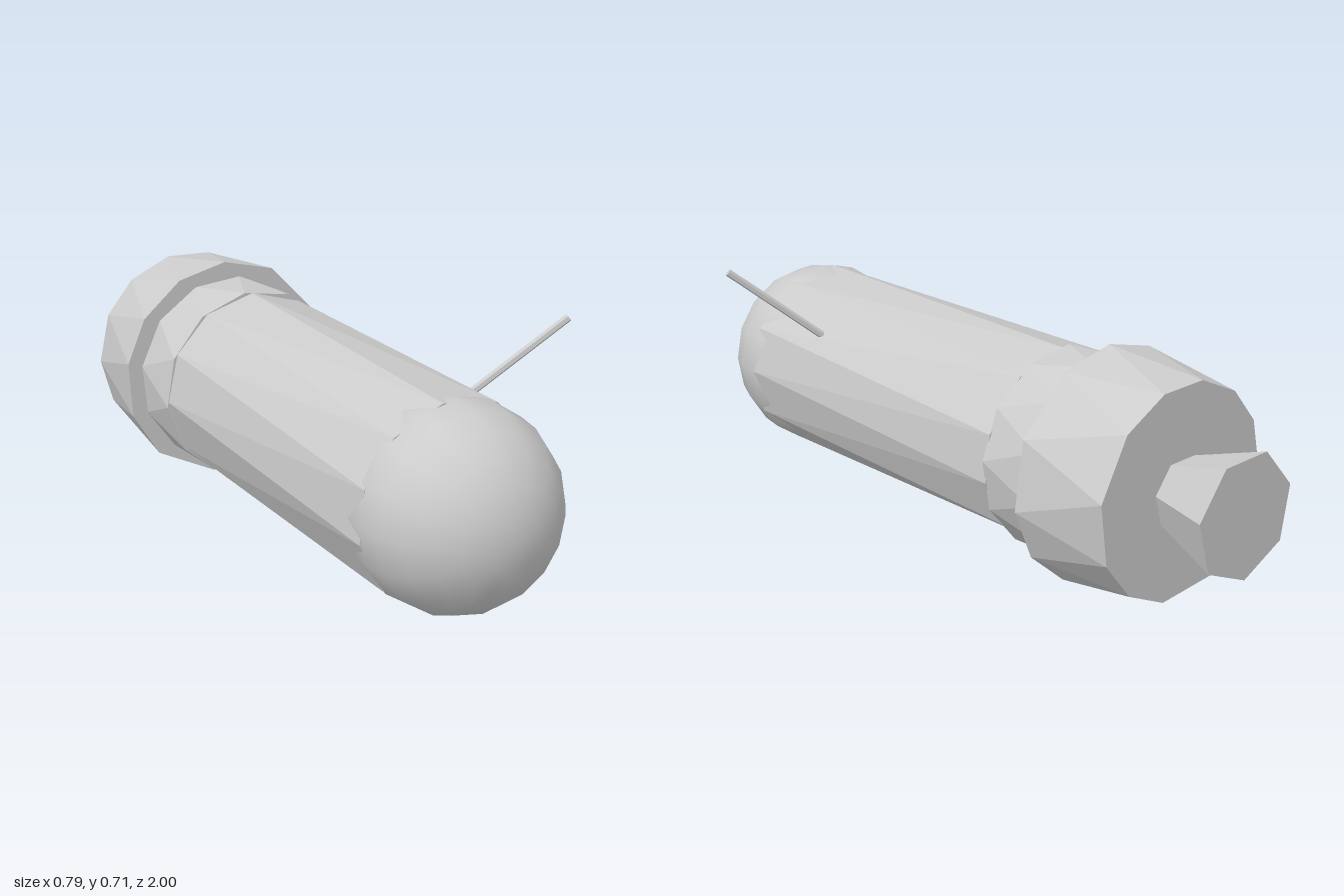
import * as THREE from 'three';

const CX = -0.07, CY = 0.334;
const ring = (n, phase) => Array.from({ length: n }, (_, i) => phase + (i * 360) / n);

// Closed faceted section along z; the rear ring is turned by `twist` degrees (zero or negative).
function section(name, angles, zFront, rFront, zRear, rRear, twist, material) {
  const n = angles.length;
  const at = (i, r, z, turn) => {
    const a = THREE.MathUtils.degToRad(angles[i % n] + turn);
    return [r * Math.cos(a), r * Math.sin(a), z];
  };
  const pos = [];
  for (let i = 0; i < n; i++) {
    const fA = at(i, rFront, zFront, 0), fB = at(i + 1, rFront, zFront, 0);
    const rA = at(i, rRear, zRear, twist), rB = at(i + 1, rRear, zRear, twist);
    pos.push(...rA, ...rB, ...fA, ...rB, ...fB, ...fA); // side facets
    pos.push(0, 0, zFront, ...fA, ...fB, 0, 0, zRear, ...rB, ...rA); // end caps
  }
  const g = new THREE.BufferGeometry();
  g.setAttribute('position', new THREE.Float32BufferAttribute(pos, 3));
  g.computeVertexNormals();
  const mesh = new THREE.Mesh(g, material);
  mesh.name = name;
  mesh.position.set(CX, CY, 0);
  return mesh;
}

export function createModel() {
  const group = new THREE.Group();
  group.name = 'capsule';
  const flat = new THREE.MeshStandardMaterial({ color: 0xcccccc, flatShading: true });
  const smooth = new THREE.MeshStandardMaterial({ color: 0xcccccc });

  // Uneven facets of the hull and the flared collar
  const bodyAngles = [0, 28, 64, 98, 130, 160, 190, 222, 257, 292, 331];
  const collarAngles = [-9, 25, 61, 90, 117, 144, 169, 198, 225, 261, 297, 324];

  group.add(
    section('body', bodyAngles, 0.72, 0.28, -0.345, 0.28, -8, flat),
    section('band', ring(12, 5), -0.34, 0.285, -0.52, 0.285, -15, flat),
    section('collar', collarAngles, -0.515, 0.332, -0.79, 0.298, -16, flat),
    section('nozzle', ring(7, 10), -0.785, 0.1, -1, 0.173, 0, flat),
  );

  // Smooth rounded nose
  const nose = new THREE.Mesh(new THREE.SphereGeometry(0.28, 16, 12), smooth);
  nose.name = 'nose';
  nose.rotation.x = Math.PI / 2;
  nose.position.set(CX, CY, 0.718);
  group.add(nose);

  // Slanted antenna
  const a = new THREE.Vector3(0.14, 0.5, 0.455), b = new THREE.Vector3(0.385, 0.712, 0.567);
  const dir = b.clone().sub(a);
  const antenna = new THREE.Mesh(new THREE.CylinderGeometry(0.011, 0.011, dir.length(), 6), flat);
  antenna.name = 'antenna';
  antenna.position.copy(a).add(b).multiplyScalar(0.5);
  antenna.quaternion.setFromUnitVectors(new THREE.Vector3(0, 1, 0), dir.normalize());
  group.add(antenna);

  return group;
}
